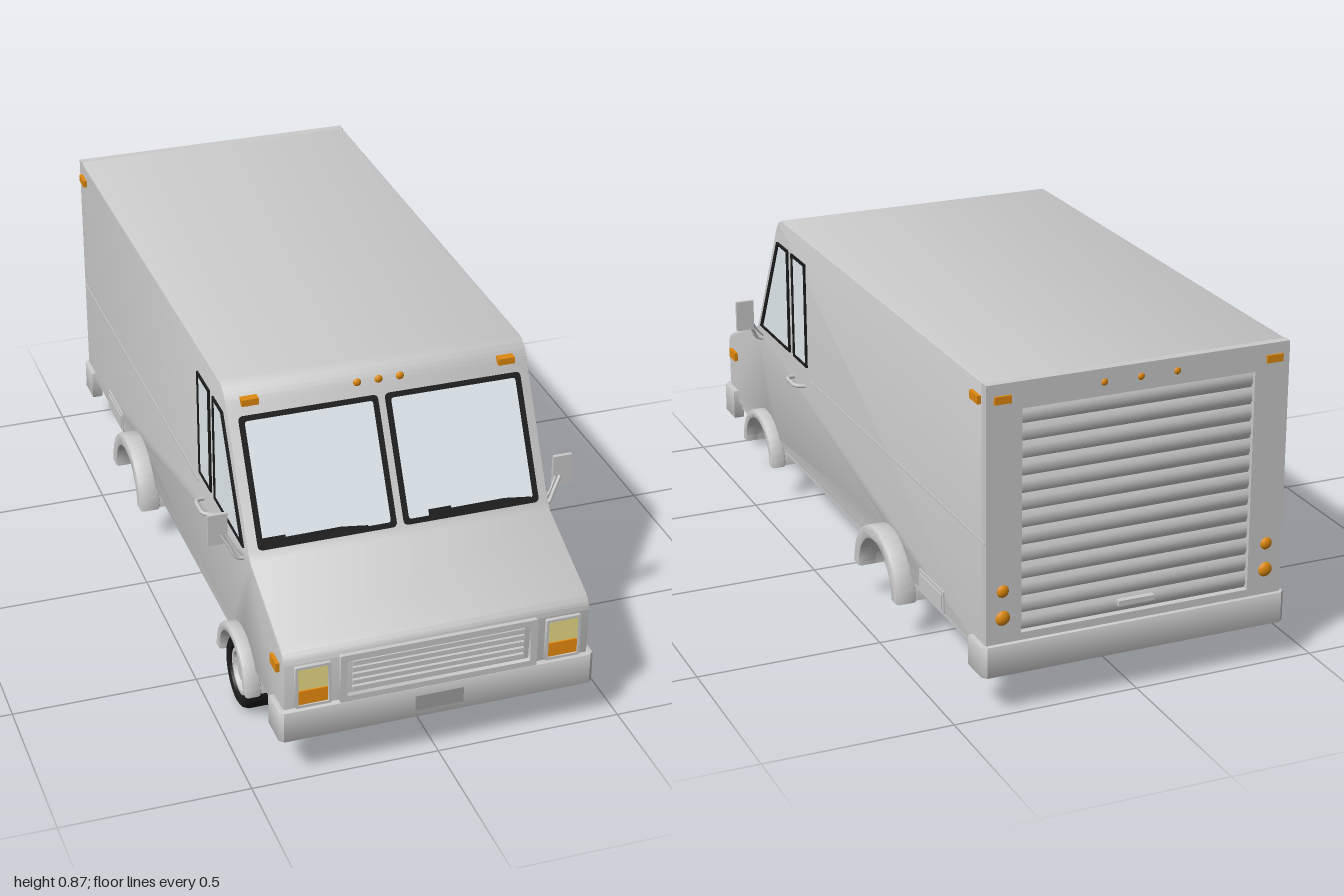
import * as THREE from 'three';
import { toCreasedNormals } from 'three/addons/utils/BufferGeometryUtils.js';

const mat = (color) => new THREE.MeshStandardMaterial({ color });
const GREY = mat(0xcccccc), BLACK = mat(0x1c1c1c), GLASS = mat(0xe4edf2), AMBER = mat(0xe08a10);
const ORANGE = mat(0xf09010), YELLOW = mat(0xeee08a), PLATE = mat(0xa0a0a0);
const W = 0.41; // half width of the body

export function createModel() {
  const van = new THREE.Group();
  van.name = 'stepVan';

  const add = (name, geo, material, x = 0, y = 0, z = 0, parent = van) => {
    const m = new THREE.Mesh(geo, material);
    m.name = name;
    m.position.set(x, y, z);
    parent.add(m);
    return m;
  };
  // box given by its limits
  const box = (name, x0, x1, y0, y1, z0, z1, material = GREY, parent = van) =>
    add(name, new THREE.BoxGeometry(x1 - x0, y1 - y0, z1 - z0), material,
      (x0 + x1) / 2, (y0 + y1) / 2, (z0 + z1) / 2, parent);
  const poly = (pts) => new THREE.Shape(pts.map(([a, b]) => new THREE.Vector2(a, b)));
  const extrude = (shape, depth, bevel = 0) => toCreasedNormals(new THREE.ExtrudeGeometry(shape, {
    depth: depth - 2 * bevel, bevelEnabled: bevel > 0, bevelSize: bevel, bevelThickness: bevel,
    bevelOffset: -bevel, bevelSegments: 2, curveSegments: 24,
  }).translate(0, 0, bevel), 0.6);
  // (z, y) outline extruded between two x positions
  const sideExtrude = (name, shape, x0, x1, material = GREY, bevel = 0) =>
    add(name, extrude(shape, x1 - x0, bevel).rotateY(-Math.PI / 2), material, x1);
  const roundRect = (x0, x1, y0, y1, r, S = THREE.Shape) => {
    const s = new S();
    s.moveTo(x0 + r, y0).lineTo(x1 - r, y0).quadraticCurveTo(x1, y0, x1, y0 + r);
    s.lineTo(x1, y1 - r).quadraticCurveTo(x1, y1, x1 - r, y1);
    s.lineTo(x0 + r, y1).quadraticCurveTo(x0, y1, x0, y1 - r);
    s.lineTo(x0, y0 + r).quadraticCurveTo(x0, y0, x0 + r, y0);
    return s;
  };
  const frame = (x0, x1, y0, y1, t, r) => {
    const s = roundRect(x0, x1, y0, y1, r);
    s.holes.push(roundRect(x0 + t, x1 - t, y0 + t, y1 - t, r * 0.6, THREE.Path));
    return s;
  };
  const bothSides = (fn) => [1, -1].forEach(fn);
  // box mirrored to both sides, limits given for +x
  const pair = (name, x0, x1, y0, y1, z0, z1, material = GREY) => bothSides((s) =>
    box(name, Math.min(s * x0, s * x1), Math.max(s * x0, s * x1), y0, y1, z0, z1, material));
  const roundLamp = (name, r, x, y, z) => add(name,
    new THREE.SphereGeometry(r, 16, 10).scale(1, 1, 0.6), AMBER, x, y, z);

  // Body shell with the wheel arches cut through it
  const ARCH_Y = 0.105, BOTTOM = 0.165;
  const arches = [
    { z: -0.36, cut: 0.138, inner: 0.118, outer: 0.156, x: 0.46 },
    { z: 0.637, cut: 0.118, inner: 0.106, outer: 0.132, x: 0.445 },
  ];
  const body = new THREE.Shape();
  body.moveTo(-0.965, BOTTOM);
  for (const a of arches) {
    const t = Math.asin((BOTTOM - ARCH_Y) / a.cut);
    body.lineTo(a.z - a.cut * Math.cos(t), BOTTOM);
    body.absarc(a.z, ARCH_Y, a.cut, Math.PI - t, t, true);
  }
  body.lineTo(0.98, BOTTOM).lineTo(0.986, 0.33).quadraticCurveTo(0.986, 0.363, 0.955, 0.377);
  body.lineTo(0.71, 0.478).lineTo(0.695, 0.495).lineTo(0.52, 0.82);
  body.quadraticCurveTo(0.495, 0.87, 0.46, 0.87).lineTo(-0.965, 0.87);
  sideExtrude('body', body, -W, W, GREY, 0.006);

  // Sill below the floor, between the arches
  for (const [z0, z1] of [[-0.975, -0.485], [-0.235, 0.53], [0.745, 0.975]])
    box('sill', -0.4, 0.4, 0.145, 0.168, z0, z1);

  // Wheel wells with flared outer lips
  for (const a of arches) bothSides((s) => {
    const ring = new THREE.Shape();
    ring.absarc(a.z, ARCH_Y, a.outer - 0.01, 0, Math.PI, false);
    ring.absarc(a.z, ARCH_Y, a.inner, Math.PI, 0, true);
    sideExtrude('wheelWell', ring, s > 0 ? 0.28 : -0.41, s > 0 ? 0.41 : -0.28);
    const lip = new THREE.Shape();
    lip.absarc(a.z, ARCH_Y, a.outer, 0, Math.PI, false);
    lip.absarc(a.z, ARCH_Y, a.inner, Math.PI, 0, true);
    sideExtrude('archFlare', lip, s > 0 ? 0.4 : -a.x, s > 0 ? a.x : -0.4, GREY, 0.008);
  });

  // Single wheel, front right
  const wheel = new THREE.Group();
  wheel.name = 'wheel';
  wheel.position.set(-0.365, 0.099, 0.637);
  wheel.rotation.z = Math.PI / 2;
  van.add(wheel);
  const lathe = (name, pts, material) => add(name, toCreasedNormals(new THREE.LatheGeometry(
    pts.map(([r, h]) => new THREE.Vector2(r, h)), 40), 0.6), material, 0, 0, 0, wheel);
  lathe('tyre', [[0.062, -0.05], [0.068, -0.062], [0.086, -0.065], [0.094, -0.06], [0.099, -0.048],
    [0.099, 0.048], [0.094, 0.06], [0.086, 0.065], [0.068, 0.062], [0.062, 0.05], [0.062, -0.05]], BLACK);
  lathe('rim', [[0, -0.045], [0.026, -0.045], [0.03, -0.032], [0.046, -0.032], [0.054, -0.056], [0.064, -0.056],
    [0.064, 0.056], [0.054, 0.056], [0.046, 0.032], [0.03, 0.032], [0.026, 0.052], [0, 0.052]], GREY);

  // Bumpers that wrap around the corners
  const bumper = (name, y0, y1, s, half) => {
    const u = poly([[-half, 0.905], [-half, 0.985], [-half + 0.012, 0.998], [half - 0.012, 0.998], [half, 0.985],
      [half, 0.905], [half - 0.03, 0.905], [half - 0.03, 0.965], [-half + 0.03, 0.965], [-half + 0.03, 0.905]]);
    const m = add(name, extrude(u, y1 - y0, 0.004).rotateX(Math.PI / 2), GREY, 0, y1);
    if (s < 0) m.rotation.y = Math.PI;
  };
  bumper('frontBumper', 0.118, 0.207, 1, 0.425);
  bumper('rearBumper', 0.105, 0.19, -1, 0.422);
  box('blankPlate', -0.065, 0.065, 0.14, 0.184, 0.99, 1.0, PLATE);

  // Windscreen panes, lying on the sloped front
  const screen = new THREE.Group();
  screen.name = 'windscreen';
  screen.position.set(0, 0.495, 0.695);
  screen.rotation.x = -Math.atan2(0.175, 0.325);
  van.add(screen);
  bothSides((s) => {
    const [x0, x1] = s > 0 ? [0.01, 0.382] : [-0.382, -0.01];
    add('windscreenFrame', extrude(frame(x0, x1, 0.002, 0.345, 0.014, 0.014), 0.01), BLACK, 0, 0, -0.004, screen);
    add('windscreenGlass', extrude(roundRect(x0 + 0.01, x1 - 0.01, 0.012, 0.335, 0.008), 0.005), GLASS, 0, 0, -0.003, screen);
    const wiper = poly([[0, 0], [0.28, 0], [0.28, 0.007], [0.21, 0.015], [0.06, 0.014], [0.06, 0.02], [0, 0.02]]);
    add('wiper', extrude(wiper, 0.008), BLACK, s > 0 ? 0.08 : -0.368, 0.012, 0.002, screen);
  });

  // Side windows, trims, handles and mirrors
  const windows = [
    [[[0.497, 0.8], [0.408, 0.8], [0.408, 0.495], [0.665, 0.495]],
      [[0.485, 0.792], [0.418, 0.792], [0.418, 0.503], [0.642, 0.503]]],
    [[[0.378, 0.8], [0.267, 0.8], [0.267, 0.495], [0.378, 0.495]],
      [[0.367, 0.792], [0.276, 0.792], [0.276, 0.503], [0.367, 0.503]]],
  ];
  const tube = (name, pts, r) => add(name, new THREE.TubeGeometry(
    new THREE.CatmullRomCurve3(pts.map((p) => new THREE.Vector3(...p))), 14, r, 8), GREY);
  bothSides((s) => {
    for (const [outer, inner] of windows) {
      const f = poly(outer);
      f.holes.push(poly(inner));
      const at = (d) => (s > 0 ? [W - 0.003, W + d] : [-W - d, -W + 0.003]);
      sideExtrude('sideWindowFrame', f, ...at(0.005), BLACK);
      sideExtrude('sideWindowGlass', poly(inner), ...at(0.002), GLASS);
    }
    tube('doorHandle', [[s * 0.405, 0.43, 0.385], [s * 0.432, 0.432, 0.375], [s * 0.436, 0.432, 0.34],
      [s * 0.432, 0.432, 0.305], [s * 0.405, 0.43, 0.295]], 0.006);
    tube('mirrorArm', [[s * 0.405, 0.457, 0.655], [s * 0.428, 0.465, 0.655], [s * 0.445, 0.495, 0.648],
      [s * 0.465, 0.53, 0.638]], 0.005);
    tube('mirrorBrace', [[s * 0.405, 0.463, 0.655], [s * 0.43, 0.49, 0.65], [s * 0.452, 0.53, 0.638]], 0.003);
  });
  pair('mirror', 0.445, 0.497, 0.5, 0.588, 0.628, 0.638);
  pair('sideCrease', W - 0.002, W + 0.002, 0.456, 0.464, -0.98, 0.25);
  pair('sideHatch', W - 0.002, W + 0.004, 0.165, 0.225, -0.727, -0.565);
  pair('hatchPanel', W, W + 0.007, 0.172, 0.215, -0.718, -0.574);

  // Marker lamps
  pair('frontSideMarker', W - 0.002, W + 0.01, 0.304, 0.33, 0.902, 0.953, AMBER);
  pair('rearSideMarker', W - 0.002, W + 0.01, 0.815, 0.836, -0.957, -0.907, AMBER);
  pair('frontRoofMarker', 0.325, 0.37, 0.824, 0.842, 0.5, 0.53, AMBER);
  pair('rearRoofMarker', 0.345, 0.39, 0.82, 0.84, -0.993, -0.98, AMBER);
  for (const x of [-0.058, 0, 0.058]) {
    roundLamp('frontRoofLamp', 0.011, x, 0.833, 0.514);
    roundLamp('rearRoofLamp', 0.01, x * 1.7, 0.835, -0.985);
  }
  bothSides((s) => {
    roundLamp('upperTailLamp', 0.017, s * 0.365, 0.33, -0.985);
    roundLamp('lowerTailLamp', 0.02, s * 0.365, 0.258, -0.985);
  });

  // Grille and headlamps
  add('grilleFrame', extrude(frame(-0.264, 0.264, 0.205, 0.345, 0.018, 0.004), 0.014), GREY, 0, 0, 0.982);
  for (let i = 0; i < 5; i++) {
    const y = 0.233 + i * 0.019;
    box('grilleSlat', -0.23, 0.23, y, y + 0.012, 0.98, 0.992);
  }
  bothSides((s) => {
    const [x0, x1] = s > 0 ? [0.288, 0.382] : [-0.382, -0.288];
    add('headlampBezel', extrude(frame(x0, x1, 0.214, 0.335, 0.007, 0.003), 0.014), GREY, 0, 0, 0.982);
  });
  pair('headlamp', 0.296, 0.376, 0.265, 0.328, 0.98, 0.993, YELLOW);
  pair('turnSignal', 0.296, 0.376, 0.222, 0.262, 0.98, 0.993, ORANGE);

  // Rear frame around the recessed roll-up door
  const rear = poly([[-W, BOTTOM], [W, BOTTOM], [W, 0.87], [-W, 0.87]]);
  rear.holes.push(poly([[-0.315, 0.21], [0.315, 0.21], [0.315, 0.8], [-0.315, 0.8]]));
  add('rearFrame', extrude(rear, 0.027), GREY, 0, 0, -0.987);
  const slats = 13, h = 0.59 / slats;
  for (let i = 0; i < slats; i++) {
    const y = 0.21 + i * h;
    sideExtrude('doorSlat', poly([[-0.96, y], [-0.969, y], [-0.976, y + h * 0.3], [-0.976, y + h * 0.7],
      [-0.969, y + h], [-0.96, y + h]]), -0.315, 0.315);
  }
  box('rearDoorHandle', -0.05, 0.05, 0.232, 0.246, -0.99, -0.97);
  return van;
}
